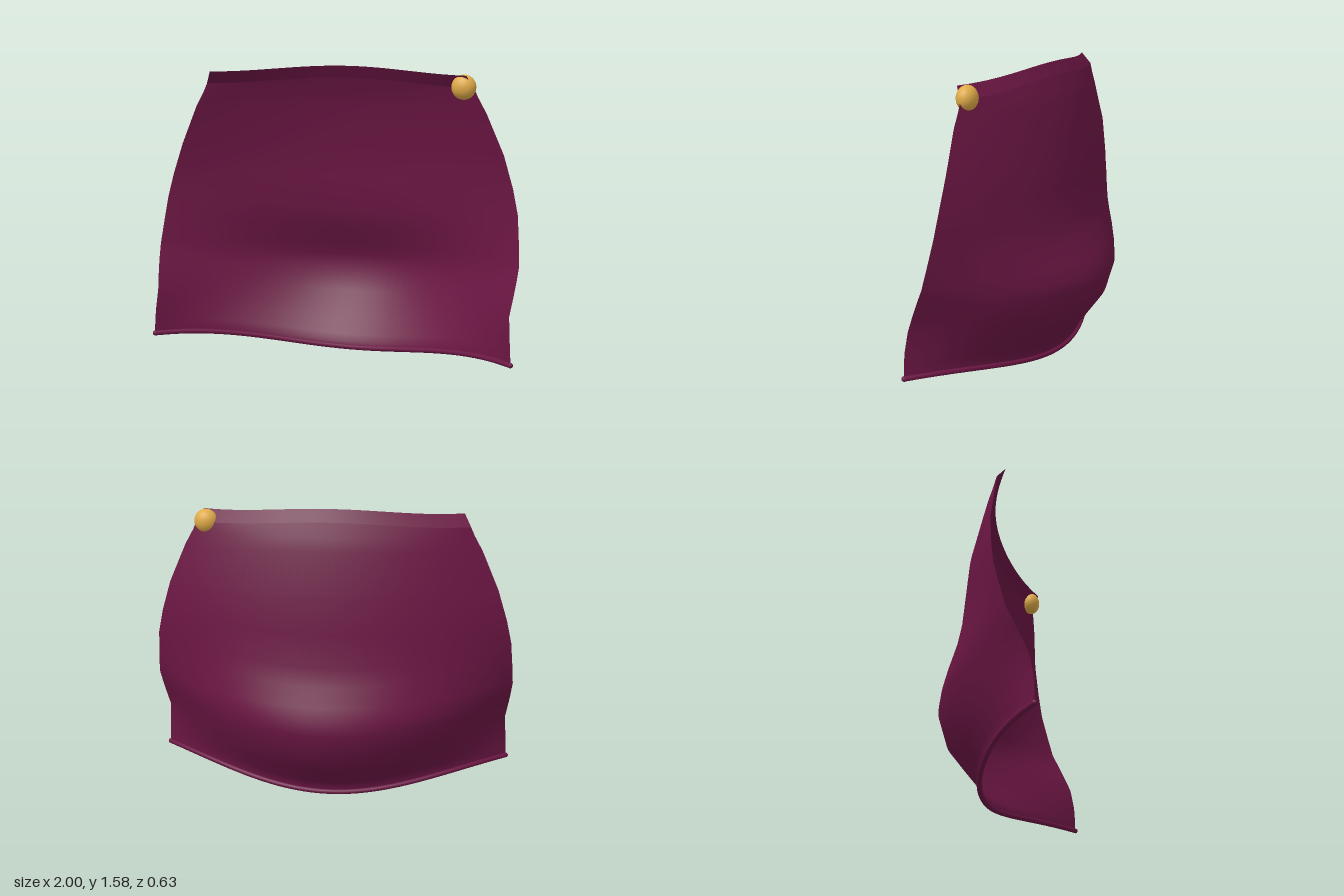
import * as THREE from 'three';

// Rows from top to bottom: centre y, centre z, edge x, edge y, edge z
const ROWS = [
  [1.585, 0, 0.70, 1.55, 0.14],
  [1.52, -0.037, 0.735, 1.485, 0.1],
  [1.44, -0.07, 0.755, 1.44, 0.1],
  [1.38, -0.09, 0.80, 1.36, 0.1],
  [1.15, -0.145, 0.892, 1.15, 0.093],
  [0.95, -0.165, 0.945, 0.98, 0.105],
  [0.77, -0.185, 0.975, 0.85, 0.12],
  [0.67, -0.22, 0.988, 0.72, 0.15],
  [0.57, -0.27, 0.998, 0.60, 0.18],
  [0.5, -0.297, 0.992, 0.53, 0.212],
  [0.43, -0.31, 0.984, 0.46, 0.243],
  [0.29, -0.27, 0.97, 0.36, 0.285],
  [0.17, -0.18, 0.978, 0.25, 0.303],
  [0.08, -0.11, 0.983, 0.18, 0.306],
  [0.045, -0.088, 0.985, 0.14, 0.306],
  [0.014, -0.085, 0.985, 0.115, 0.306],
];
const COLUMNS = 40;

// Point on a row, u from -1 (right edge) to 1 (left edge)
function rowPoint([cy, cz, ex, ey, ez], u) {
  const blendY = (1 - Math.cos(Math.PI * u)) / 2;
  return new THREE.Vector3(
    ex * u,
    THREE.MathUtils.lerp(cy, ey, blendY),
    THREE.MathUtils.lerp(cz, ez, u * u),
  );
}

// Smooth sheet lofted through the given rows
function clothSheet(rows) {
  const points = [];
  const index = [];
  rows.forEach((row, r) => {
    for (let c = 0; c <= COLUMNS; c++) {
      points.push(rowPoint(row, (c / COLUMNS) * 2 - 1));
      if (r < rows.length - 1 && c < COLUMNS) {
        const a = r * (COLUMNS + 1) + c;
        const b = a + COLUMNS + 1;
        index.push(a, b, a + 1, b, b + 1, a + 1);
      }
    }
  });
  const geometry = new THREE.BufferGeometry().setFromPoints(points);
  geometry.setIndex(index);
  geometry.computeVertexNormals();
  return geometry;
}

export function createModel() {
  const model = new THREE.Group();
  model.name = 'cape';
  const cloth = new THREE.MeshStandardMaterial({ color: 0x6b1643, side: THREE.DoubleSide });
  const gold = new THREE.MeshStandardMaterial({ color: 0xe0ab48 });

  const add = (name, geometry, material) => {
    const mesh = new THREE.Mesh(geometry, material);
    mesh.name = name;
    model.add(mesh);
    return mesh;
  };

  // Folded collar band and hanging cloth, with a crease between them
  add('collar', clothSheet(ROWS.slice(0, 2)), cloth);
  add('drape', clothSheet(ROWS.slice(1)), cloth);

  // Rolled hem along the lower edge, with rounded ends
  const lastRow = ROWS[ROWS.length - 1];
  const hemPoints = Array.from({ length: 21 }, (_, i) => rowPoint(lastRow, i / 10 - 1));
  add('hem', new THREE.TubeGeometry(new THREE.CatmullRomCurve3(hemPoints), 60, 0.014, 8), cloth);
  for (const side of [-1, 1]) {
    const end = add(side < 0 ? 'rightHemEnd' : 'leftHemEnd', new THREE.SphereGeometry(0.014, 10, 8), cloth);
    end.position.copy(rowPoint(lastRow, side));
  }

  // Round clasp at the left shoulder
  const clasp = add('clasp', new THREE.SphereGeometry(0.064, 24, 16), gold);
  clasp.scale.z = 0.82;
  clasp.position.set(0.68, 1.49, 0.095);

  return model;
}
